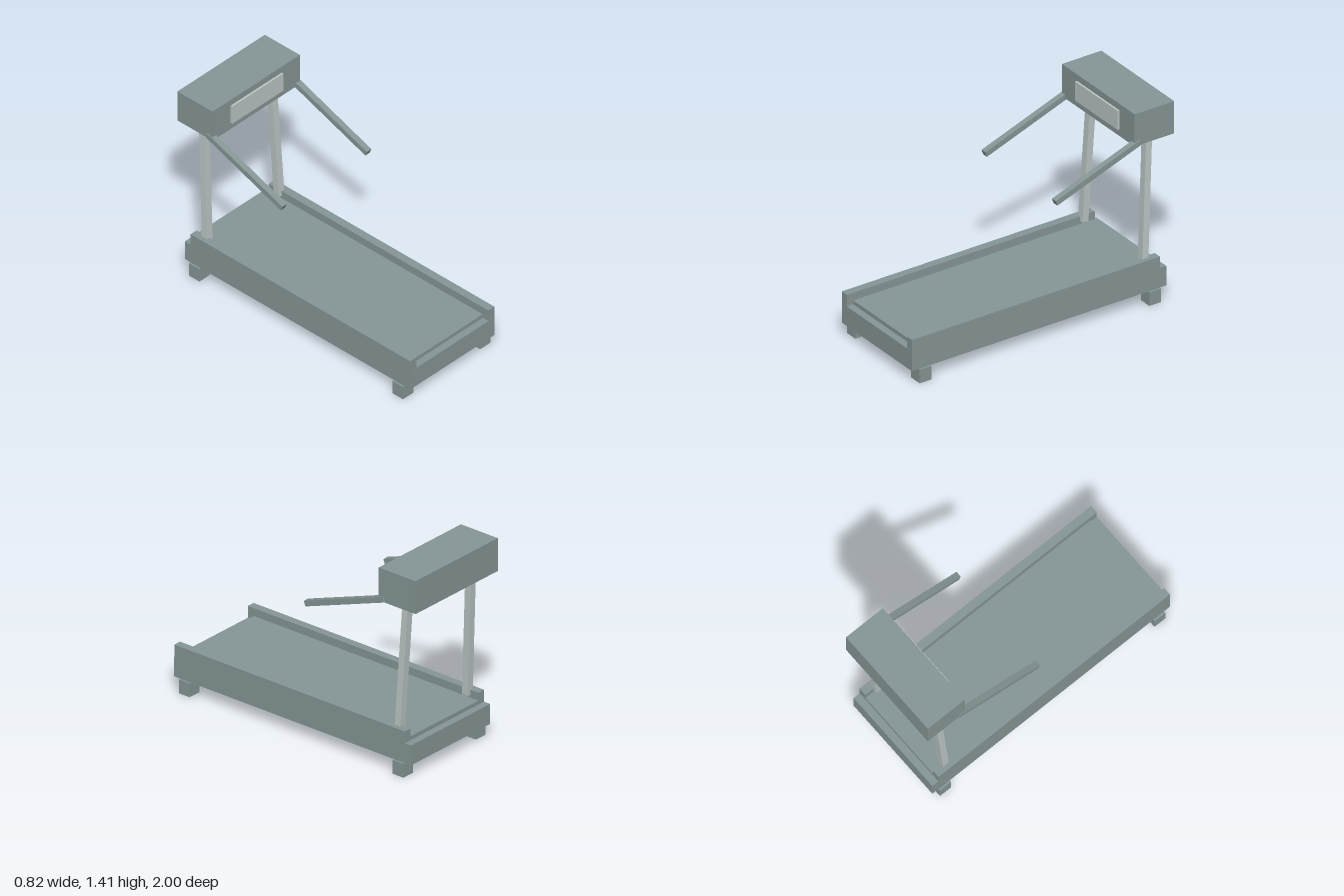
import * as THREE from 'three';

export function createModel() {
  const group = new THREE.Group();
  const frameGrey = new THREE.MeshStandardMaterial({ color: 0x869796 });
  frameGrey.name = 'frameGrey';
  const lightGrey = new THREE.MeshStandardMaterial({ color: 0xbcc7c6 });
  lightGrey.name = 'lightGrey';

  function add(name, geometry, material) {
    const mesh = new THREE.Mesh(geometry, material);
    mesh.name = name;
    group.add(mesh);
    return mesh;
  }

  // Box given by its extents on each axis
  function block(name, [x0, x1], [y0, y1], [z0, z1], material = frameGrey) {
    add(name, new THREE.BoxGeometry(x1 - x0, y1 - y0, z1 - z0), material)
      .position.set((x0 + x1) / 2, (y0 + y1) / 2, (z0 + z1) / 2);
  }

  // Square bar running between two points
  function bar(name, from, to, width, depth, material) {
    const a = new THREE.Vector3(...from);
    const b = new THREE.Vector3(...to);
    const mesh = add(name, new THREE.BoxGeometry(width, a.distanceTo(b), depth), material);
    mesh.position.copy(a).lerp(b, 0.5);
    mesh.quaternion.setFromUnitVectors(new THREE.Vector3(0, 1, 0), b.sub(a).normalize());
  }

  // Running deck and belt
  block('deck', [-0.385, 0.385], [0.097, 0.237], [-0.95, 1]);
  block('belt', [-0.33, 0.33], [0.237, 0.265], [-0.9, 0.95]);

  // Console with its display panel
  block('console', [-0.4, 0.4], [1.18, 1.411], [-1, -0.697]);
  block('display', [-0.234, 0.234], [1.228, 1.365], [-0.697, -0.683], lightGrey);

  // Mirrored parts
  for (const [side, s] of [['left', 1], ['right', -1]]) {
    const span = (a, b) => (s > 0 ? [a, b] : [-b, -a]);
    block(side + 'Rail', span(0.33, 0.386), [0.097, 0.32], [-0.9, 0.999]);
    block(side + 'FrontFoot', span(0.306, 0.4), [0, 0.097], [0.86, 0.95]);
    block(side + 'BackFoot', span(0.306, 0.4), [0, 0.097], [-0.9, -0.81]);
    bar(side + 'Post', [s * 0.329, 0.285, -0.81], [s * 0.305, 1.21, -0.858], 0.05, 0.046, lightGrey);
    bar(side + 'Handle', [s * 0.387, 0.966, -0.093], [s * 0.387, 1.202, -0.743], 0.042, 0.038, frameGrey);
  }

  return group;
}
